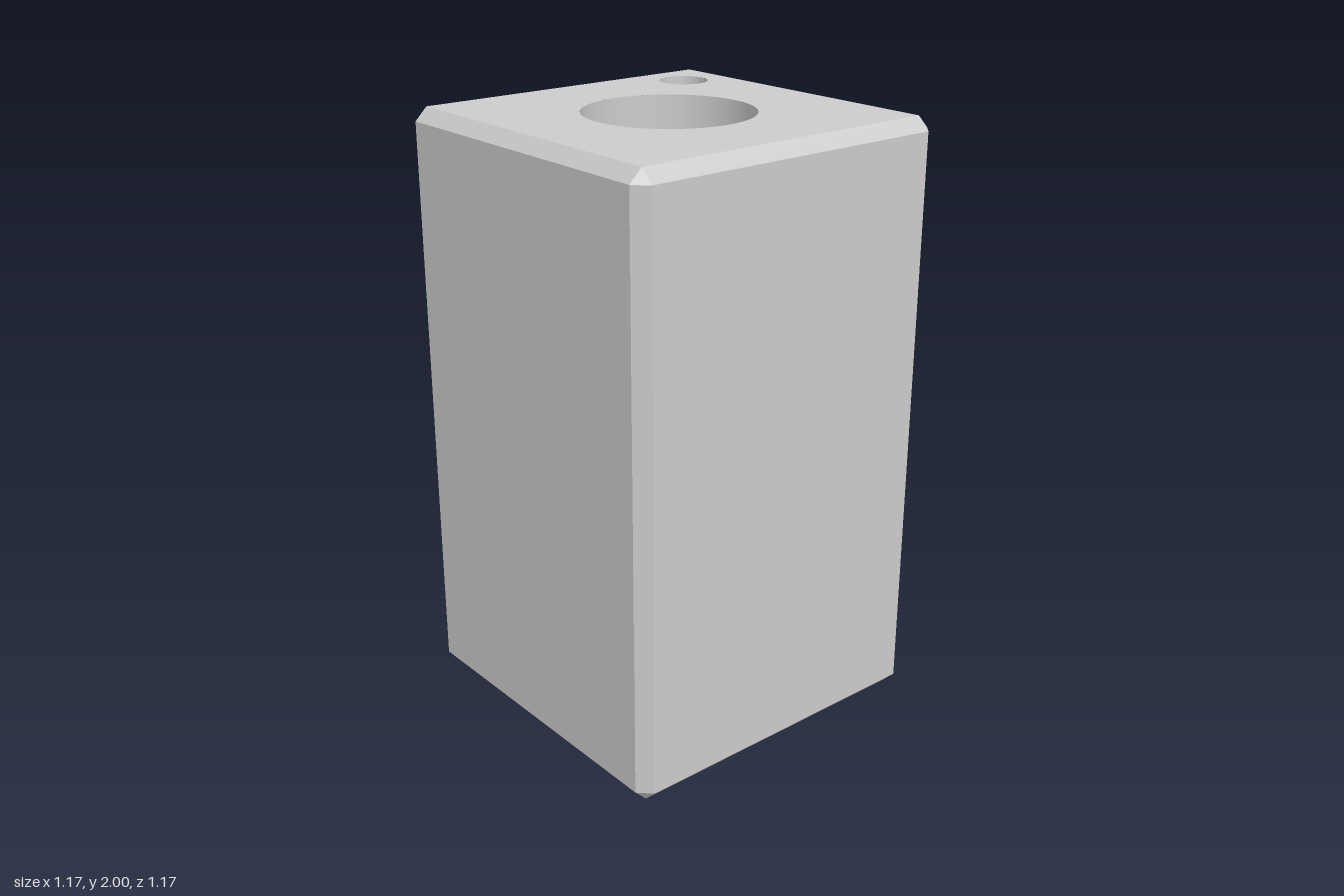
import * as THREE from 'three';
import { toCreasedNormals } from 'three/addons/utils/BufferGeometryUtils.js';

const HALF = 0.583;      // half width of the block
const HEIGHT = 2;
const CHAMFER = 0.042;
const INNER = HALF - CHAMFER;
const SEGMENTS = 64;
const BORE = 0.276, COUNTERBORE = 0.417, COUNTERBORE_DEPTH = 0.19;
const PIN = { x: 0.384, z: -0.387, radius: 0.083, depth: 0.5 };

// Eight-point ring: flats reach out to r, corners cut back to INNER
function ring(y, r) {
  const points = [];
  for (const [sx, sz] of [[1, 1], [1, -1], [-1, -1], [-1, 1]]) {
    const a = new THREE.Vector3(sx * INNER, y, sz * r);
    const b = new THREE.Vector3(sx * r, y, sz * INNER);
    points.push(...(sx * sz > 0 ? [a, b] : [b, a]));
  }
  return points;
}

// Side walls and all edge chamfers, lofted through four rings
function shellGeometry() {
  const rings = [ring(0, INNER), ring(CHAMFER, HALF), ring(HEIGHT - CHAMFER, HALF), ring(HEIGHT, INNER)];
  const positions = [];
  const triangle = (a, b, c) => {
    if (a.equals(b) || b.equals(c) || c.equals(a)) return;
    for (const p of [a, b, c]) positions.push(p.x, p.y, p.z);
  };
  for (let i = 0; i < 3; i++) {
    for (let j = 0; j < 8; j++) {
      const k = (j + 1) % 8;
      const [lo, hi] = [rings[i], rings[i + 1]];
      triangle(lo[j], lo[k], hi[k]);
      triangle(lo[j], hi[k], hi[j]);
    }
  }
  const geometry = new THREE.BufferGeometry();
  geometry.setAttribute('position', new THREE.Float32BufferAttribute(positions, 3));
  geometry.computeVertexNormals();
  return geometry;
}

// Flat square face pierced by round holes given as [x, y, radius]
function faceGeometry(holes) {
  const shape = new THREE.Shape();
  shape.moveTo(-INNER, -INNER).lineTo(INNER, -INNER).lineTo(INNER, INNER).lineTo(-INNER, INNER).closePath();
  for (const [x, y, r] of holes) {
    shape.holes.push(new THREE.Path().absarc(x, y, r, 0, Math.PI * 2, true));
  }
  return new THREE.ShapeGeometry(shape, SEGMENTS);
}

// Inward-facing hole wall; the profile runs from top to bottom
function holeGeometry(profile) {
  const points = profile.map(([r, y]) => new THREE.Vector2(r, y));
  return toCreasedNormals(new THREE.LatheGeometry(points, SEGMENTS), 0.6);
}

export function createModel() {
  const group = new THREE.Group();
  group.name = 'chamferedBlock';
  const material = new THREE.MeshStandardMaterial({ color: 0xcccccc });
  const add = (name, geometry) => {
    const mesh = new THREE.Mesh(geometry, material);
    mesh.name = name;
    group.add(mesh);
    return mesh;
  };

  add('chamferedSides', shellGeometry());

  // End faces
  const top = faceGeometry([[0, 0, BORE], [PIN.x, -PIN.z, PIN.radius]]);
  add('topFace', top.rotateX(-Math.PI / 2)).position.y = HEIGHT;
  add('bottomFace', faceGeometry([[0, 0, COUNTERBORE]]).rotateX(Math.PI / 2));

  // Through bore, widened by a counterbore at the bottom
  add('counterboredHole', holeGeometry([
    [BORE, HEIGHT], [BORE, COUNTERBORE_DEPTH], [COUNTERBORE, COUNTERBORE_DEPTH], [COUNTERBORE, 0],
  ]));

  // Blind pin hole in the back left corner of the top
  const pinFloor = HEIGHT - PIN.depth;
  add('pinHole', holeGeometry([
    [PIN.radius, HEIGHT], [PIN.radius, pinFloor], [0, pinFloor],
  ])).position.set(PIN.x, 0, PIN.z);

  return group;
}
